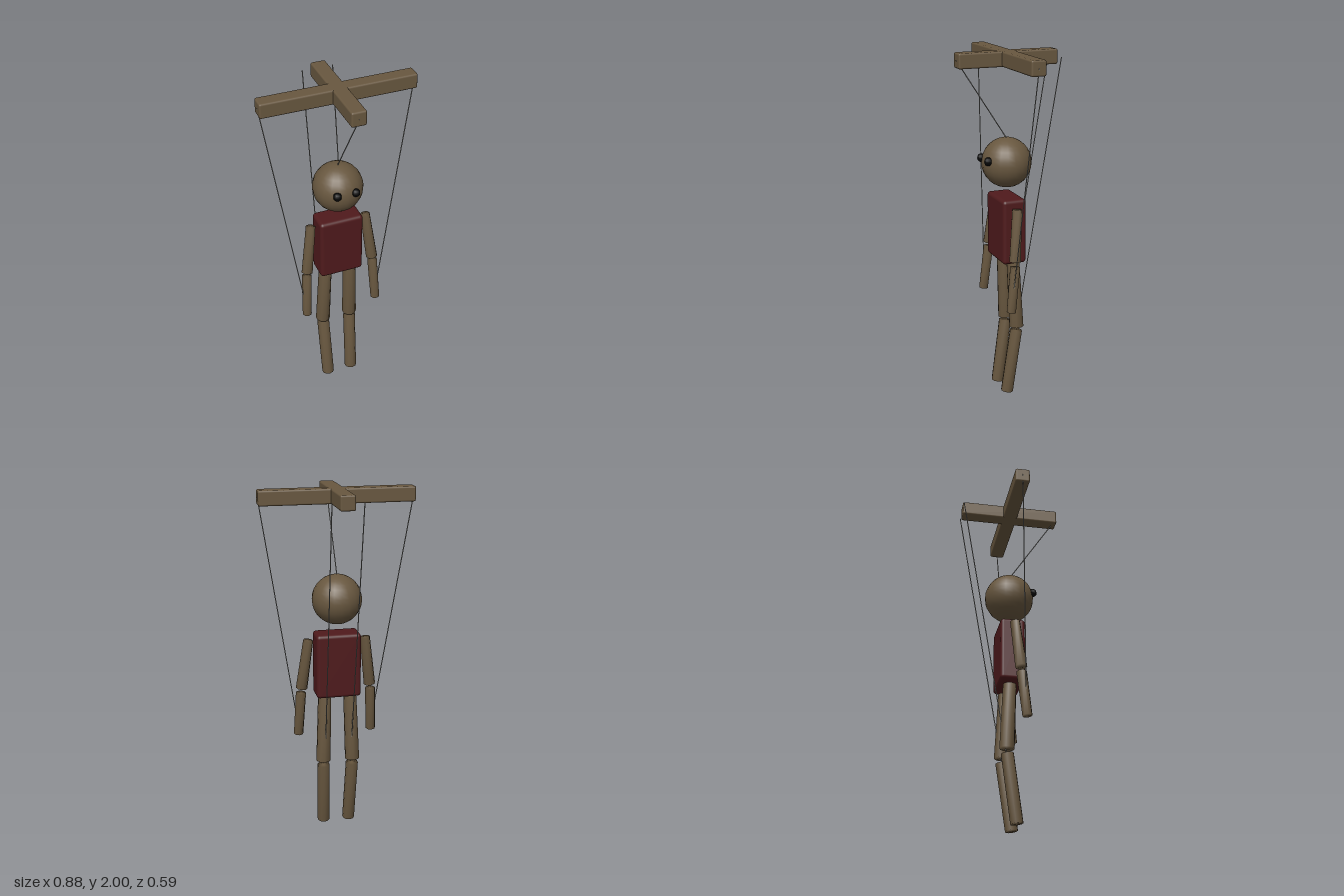
import * as THREE from 'three';
import { RoundedBoxGeometry } from 'three/addons/geometries/RoundedBoxGeometry.js';
import { mergeVertices } from 'three/addons/utils/BufferGeometryUtils.js';

const material = (name, color) => {
  const m = new THREE.MeshStandardMaterial({ color });
  m.name = name;
  return m;
};

// Shares the rim vertices so that shading runs softly over the edges
function soften(geometry) {
  geometry.deleteAttribute('normal');
  geometry.deleteAttribute('uv');
  const merged = mergeVertices(geometry, 1e-5);
  merged.computeVertexNormals();
  return merged;
}

export function createModel() {
  const wood = material('wood', 0x68573f);
  const cloth = material('red cloth', 0x4f1a1c);
  const black = material('eye black', 0x050505);
  const cord = material('string grey', 0x8c8c88);

  const model = new THREE.Group();
  model.name = 'marionette';

  function add(name, geometry, mat, x = 0, y = 0, z = 0, parent = model) {
    const mesh = new THREE.Mesh(geometry, mat);
    mesh.name = name;
    mesh.position.set(x, y, z);
    parent.add(mesh);
    return mesh;
  }

  // A cylinder running from point a (top) to point b (bottom)
  function rod(name, a, b, rTop, rBottom, sides, mat, parent = model) {
    const top = new THREE.Vector3(...a), bottom = new THREE.Vector3(...b);
    const axis = top.clone().sub(bottom);
    const middle = top.clone().add(bottom).multiplyScalar(0.5);
    const geometry = soften(new THREE.CylinderGeometry(rTop, rBottom, axis.length(), sides));
    const mesh = add(name, geometry, mat, middle.x, middle.y, middle.z, parent);
    mesh.quaternion.setFromUnitVectors(new THREE.Vector3(0, 1, 0), axis.normalize());
    return mesh;
  }

  // Control cross
  add('controlBarSide', new RoundedBoxGeometry(0.872, 0.084, 0.084, 2, 0.01), wood, 0, 1.958, 0);
  add('controlBarFront', new RoundedBoxGeometry(0.084, 0.084, 0.58, 2, 0.01), wood, 0, 1.958, 0);

  // Head and torso
  add('head', new THREE.SphereGeometry(0.142, 20, 16), wood, 0, 1.378, 0);
  add('torso', new RoundedBoxGeometry(0.257, 0.374, 0.141, 3, 0.02), cloth, 0, 0.999, 0);
  rod('headString', [0, 1.96, 0.29], [0, 1.515, 0], 0.003, 0.003, 6, cord);

  // Mirrored eyes, limbs and strings
  for (const [side, s] of [['left', 1], ['right', -1]]) {
    const half = new THREE.Group();
    half.name = side + 'Side';
    model.add(half);
    const limb = (name, a, b, rTop, rBottom, sides, mat) =>
      rod(name, [s * a[0], a[1], a[2]], [s * b[0], b[1], b[2]], rTop, rBottom, sides, mat, half);

    add('eye', new THREE.SphereGeometry(0.024, 8, 8), black, s * 0.054, 1.403, 0.131, half);

    limb('upperArm', [0.165, 1.145, 0.004], [0.201, 0.853, 0.031], 0.029, 0.034, 8, wood);
    limb('forearm', [0.205, 0.823, 0.032], [0.217, 0.561, 0.06], 0.03, 0.028, 8, wood);
    limb('thigh', [0.075, 0.795, -0.01], [0.086, 0.414, -0.027], 0.038, 0.042, 10, wood);
    limb('shin', [0.085, 0.387, -0.025], [0.076, 0.005, 0.028], 0.036, 0.036, 10, wood);

    limb('handString', [0.435, 1.96, 0], [0.217, 0.6, 0.055], 0.003, 0.003, 6, cord);
    limb('kneeString', [0.087, 1.96, -0.29], [0.076, 0.4, -0.03], 0.003, 0.003, 6, cord);
  }

  return model;
}
